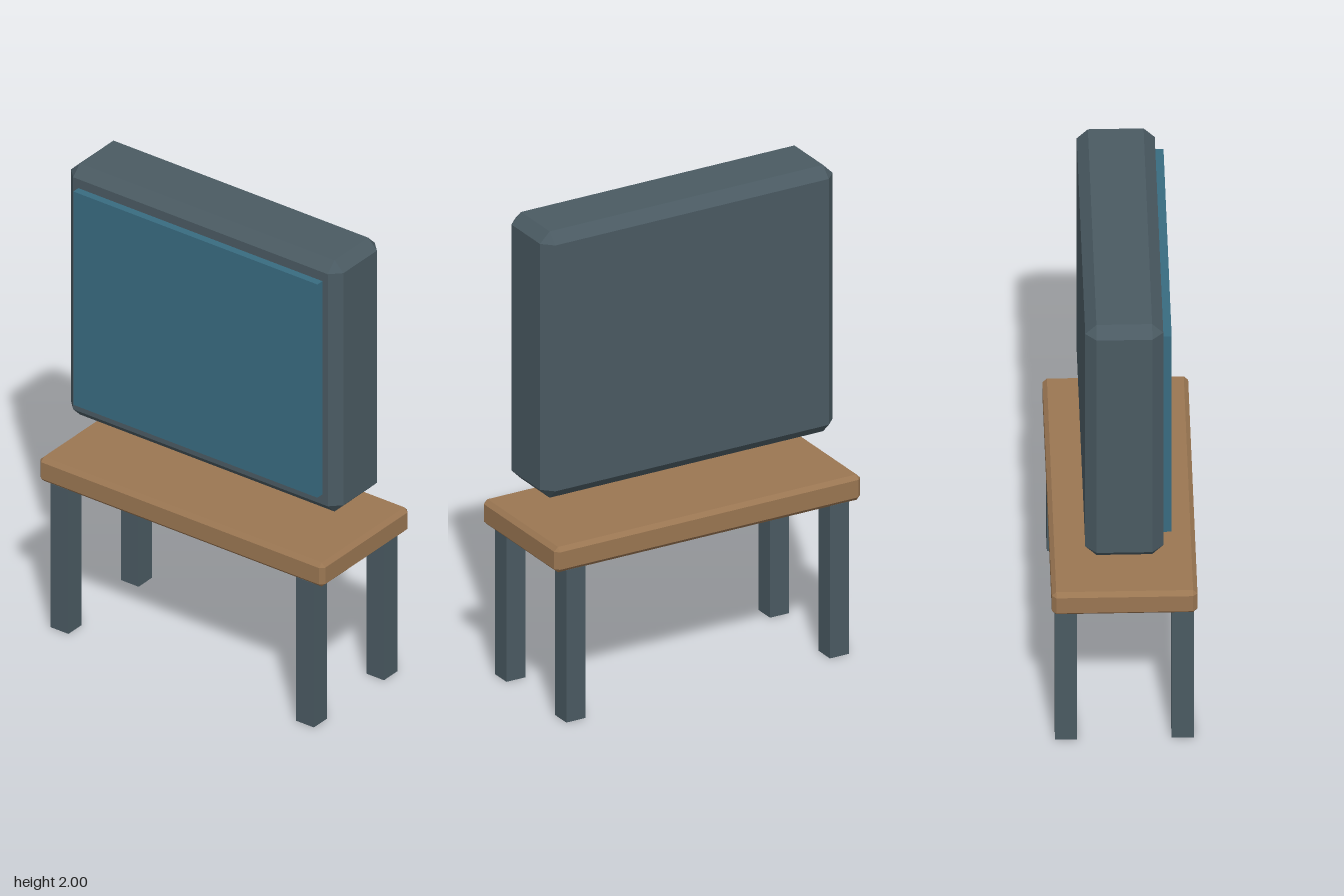
import * as THREE from 'three';
import { ConvexGeometry } from 'three/addons/geometries/ConvexGeometry.js';

const paint = (color) => new THREE.MeshStandardMaterial({ color, flatShading: true });

// Box with every edge cut at 45 degrees and triangular corners
function chamferedBox(w, h, d, c) {
  const [x, y, z] = [w / 2, h / 2, d / 2];
  const points = [];
  for (const sx of [-1, 1]) for (const sy of [-1, 1]) for (const sz of [-1, 1]) {
    points.push(
      new THREE.Vector3(sx * x, sy * (y - c), sz * (z - c)),
      new THREE.Vector3(sx * (x - c), sy * y, sz * (z - c)),
      new THREE.Vector3(sx * (x - c), sy * (y - c), sz * z)
    );
  }
  return new ConvexGeometry(points);
}

export function createModel() {
  const model = new THREE.Group();
  model.name = 'televisionOnTable';
  const slate = paint(0x4a5a62);
  const wood = paint(0x9a7652);
  const glass = paint(0x386b80);

  const add = (parent, name, geometry, material, x, y, z) => {
    const mesh = new THREE.Mesh(geometry, material);
    mesh.name = name;
    mesh.position.set(x, y, z);
    parent.add(mesh);
  };

  // Television: chamfered case with a thin screen panel in front
  const television = new THREE.Group();
  television.name = 'television';
  add(television, 'case', chamferedBox(1.31, 1.12, 0.3, 0.043), slate, 0, 1.44, 0);
  add(television, 'screen', new THREE.BoxGeometry(1.174, 0.95, 0.032), glass, 0, 1.443, 0.167);

  // Table: chamfered top on four square legs
  const table = new THREE.Group();
  table.name = 'table';
  add(table, 'tableTop', chamferedBox(1.37, 0.107, 0.56, 0.017), wood, 0, 0.692, 0);
  const legGeometry = new THREE.BoxGeometry(0.085, 0.64, 0.085);
  for (const [side, x] of [['Left', 0.59], ['Right', -0.59]]) {
    for (const [end, z] of [['front', 0.224], ['back', -0.224]]) {
      add(table, `${end}${side}Leg`, legGeometry, slate, x, 0.32, z);
    }
  }

  model.add(television, table);
  return model;
}
